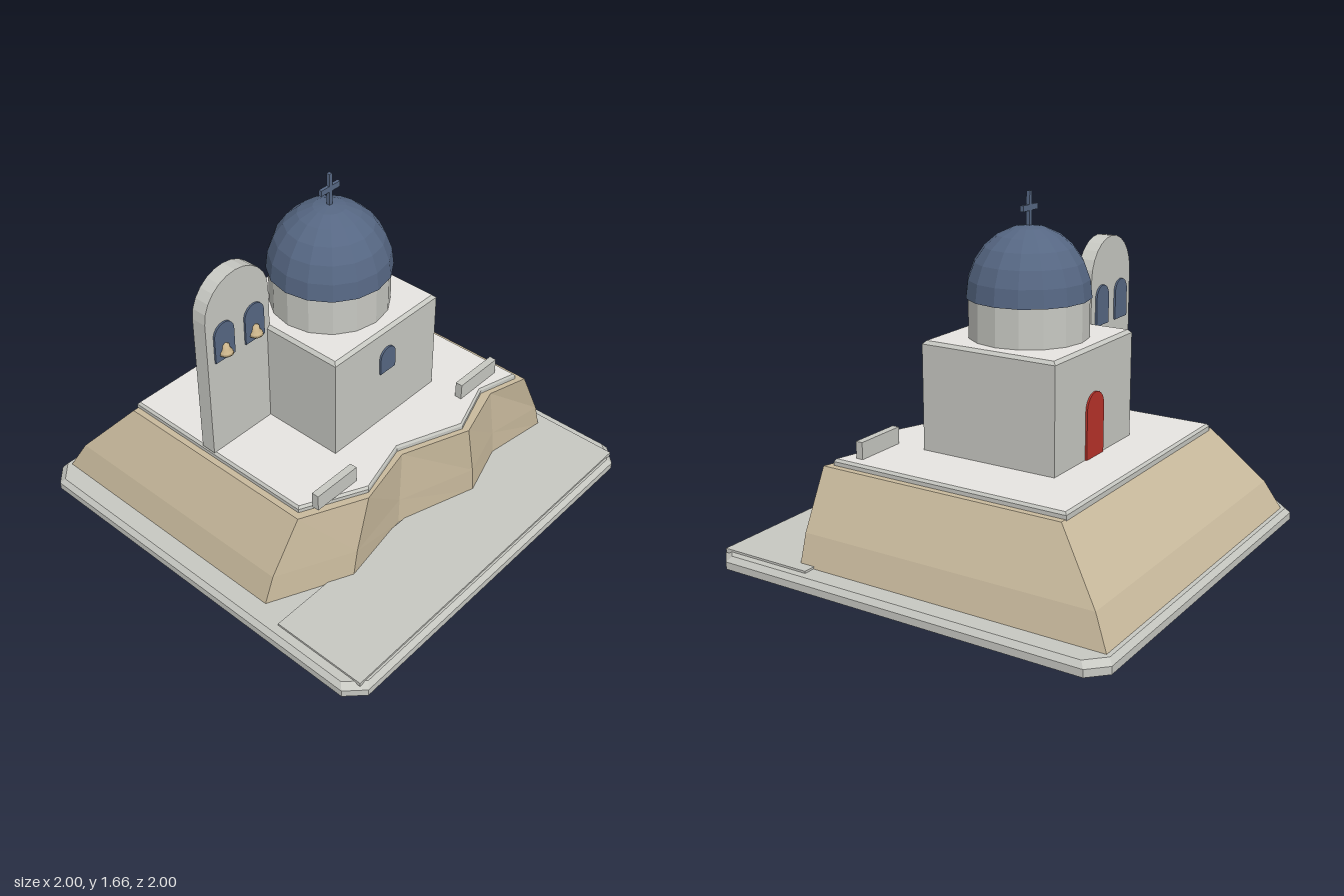
import * as THREE from 'three';

const mat = (name, color) => {
  const m = new THREE.MeshStandardMaterial({ color });
  m.name = name;
  return m;
};

// Flat-faced solid from stacked outlines: rings = [{ y, pts: [[x, z], ...] }, ...], bottom first.
// Group 0 is the sides and underside, group 1 the top cap.
function loft(rings) {
  const pos = [];
  const put = (y, p) => pos.push(p[0], y, p[1]);
  for (let r = 0; r < rings.length - 1; r++) {
    const lo = rings[r], hi = rings[r + 1], n = lo.pts.length;
    for (let i = 0; i < n; i++) {
      const j = (i + 1) % n;
      put(lo.y, lo.pts[i]); put(hi.y, hi.pts[j]); put(lo.y, lo.pts[j]);
      put(lo.y, lo.pts[i]); put(hi.y, hi.pts[i]); put(hi.y, hi.pts[j]);
    }
  }
  const cap = ({ y, pts }, up) => {
    const contour = pts.map(([x, z]) => new THREE.Vector2(x, z));
    for (const [a, b, c] of THREE.ShapeUtils.triangulateShape(contour, [])) {
      const A = pts[a], B = pts[b], C = pts[c];
      const turn = (B[0] - A[0]) * (C[1] - A[1]) - (B[1] - A[1]) * (C[0] - A[0]);
      const keep = (turn < 0) === up;
      for (const p of keep ? [A, B, C] : [A, C, B]) put(y, p);
    }
  };
  cap(rings[0], false);
  const split = pos.length / 3;
  cap(rings[rings.length - 1], true);
  const g = new THREE.BufferGeometry();
  g.setAttribute('position', new THREE.Float32BufferAttribute(pos, 3));
  g.computeVertexNormals();
  g.addGroup(0, split, 0);
  g.addGroup(split, pos.length / 3 - split, 1);
  return g;
}

// Square outline centred on (cx, cz), optionally with chamfered corners
function square(half, cut = 0, cx = 0, cz = 0) {
  const h = half, k = half - cut;
  const p = cut
    ? [[-h, -k], [-k, -h], [k, -h], [h, -k], [h, k], [k, h], [-k, h], [-h, k]]
    : [[-h, -h], [h, -h], [h, h], [-h, h]];
  return p.map(([x, z]) => [x + cx, z + cz]);
}

// Round-topped slab standing on y = 0, facing sideways, thickness running toward +x
function archSlab(width, height, depth, segments) {
  const r = width / 2;
  const s = new THREE.Shape();
  s.moveTo(-r, 0);
  s.lineTo(r, 0);
  s.lineTo(r, height - r);
  s.absarc(0, height - r, r, 0, Math.PI, false);
  s.closePath();
  return new THREE.ExtrudeGeometry(s, { depth, bevelEnabled: false, curveSegments: segments })
    .rotateY(Math.PI / 2);
}

export function createModel() {
  const stone = mat('grey plaster', 0xc7c8c2);
  const white = mat('white plaster', 0xeceae6);
  const rock = mat('sandy rock', 0xc9ba9d);
  const blue = mat('dome blue', 0x566783);
  const red = mat('door red', 0xb8322a);
  const bronze = mat('bell bronze', 0xcdb68c);
  rock.flatShading = stone.flatShading = blue.flatShading = false;

  const model = new THREE.Group();
  model.name = 'cliffChapel';
  const add = (name, geo, material, x = 0, y = 0, z = 0) => {
    const m = new THREE.Mesh(geo, material);
    m.name = name;
    m.position.set(x, y, z);
    model.add(m);
    return m;
  };
  const box = (name, material, x0, x1, y0, y1, z0, z1) =>
    add(name, new THREE.BoxGeometry(x1 - x0, y1 - y0, z1 - z0), material,
      (x0 + x1) / 2, (y0 + y1) / 2, (z0 + z1) / 2);

  // Base plinth with chamfered corners, and the shore slab on it
  add('base', loft([
    { y: 0, pts: square(1, 0.08) },
    { y: 0.035, pts: square(1, 0.08) },
    { y: 0.06, pts: square(0.98, 0.08) },
  ]), [stone, stone]);
  box('shoreSlab', stone, 0.5, 0.97, 0.05, 0.07, -0.945, 0.94);

  // Cliff: straight on three sides, jagged toward +x
  const foot = [[-0.96, -0.89], [0.575, -0.89], [0.53, -0.56], [0.618, -0.285],
    [0.49, 0.12], [0.555, 0.51], [0.375, 0.89]];
  const brow = [[-0.65, -0.71], [0.575, -0.71], [0.52, -0.51], [0.605, -0.23],
    [0.48, 0.1], [0.55, 0.41], [0.41, 0.71]];
  foot.push([-0.96, 0.89]);
  brow.push([-0.65, 0.71]);
  const waist = foot.map((p, i) => p.map((v, k) => v + (brow[i][k] - v) * 0.24));
  add('cliff', loft([
    { y: 0.06, pts: foot }, { y: 0.2, pts: waist }, { y: 0.47, pts: brow },
  ]), [rock, rock]);

  // Terrace following the cliff edge
  const edge = [[-0.655, -0.68], [0.54, -0.68], [0.485, -0.48], [0.575, -0.22],
    [0.45, 0.1], [0.527, 0.385], [0.385, 0.68], [-0.655, 0.68]];
  add('terrace', loft([
    { y: 0.465, pts: edge }, { y: 0.488, pts: edge },
    { y: 0.5, pts: edge.map(([x, z]) => [x * 0.985, z * 0.985]) },
  ]), [stone, white]);
  box('frontParapet', stone, 0.425, 0.46, 0.5, 0.58, 0.39, 0.635);
  box('backParapet', stone, 0.425, 0.46, 0.5, 0.58, -0.62, -0.355);

  // Chapel body with a bevelled roof edge
  const cx = -0.068, cz = -0.022;
  add('chapelWalls', loft([
    { y: 0.5, pts: square(0.343, 0, cx, cz) },
    { y: 0.995, pts: square(0.343, 0, cx, cz) },
    { y: 1.01, pts: square(0.328, 0, cx, cz) },
  ]), [stone, white]);
  add('door', archSlab(0.15, 0.3, 0.009, 8), red, cx - 0.352, 0.5, cz - 0.003);
  add('sideWindow', archSlab(0.1, 0.13, 0.009, 8), blue, cx + 0.343, 0.78, cz);

  // Drum, dome and cross
  const drum = new THREE.CylinderGeometry(0.276, 0.276, 0.19, 16).toNonIndexed();
  drum.computeVertexNormals();
  add('drum', drum, stone, cx, 1.1, cz);
  const profile = [new THREE.Vector2(0.26, 0)];
  for (let i = 0; i <= 6; i++) {
    const a = (i / 6) * Math.PI / 2;
    profile.push(new THREE.Vector2(0.286 * Math.cos(a), 0.32 * Math.sin(a)));
  }
  const dome = new THREE.LatheGeometry(profile, 16).toNonIndexed();
  dome.computeVertexNormals();
  add('dome', dome, blue, cx, 1.19, cz);
  box('crossPost', blue, cx - 0.009, cx + 0.009, 1.49, 1.66, cz - 0.009, cz + 0.009);
  box('crossArm', blue, cx - 0.008, cx + 0.008, 1.573, 1.6, cz - 0.06, cz + 0.06);

  // Bell wall: arched slab, two openings on each face, bells on the +x face
  add('bellWall', archSlab(0.375, 0.9, 0.075, 6), stone, -0.205, 0.5, 0.493);
  const bell = new THREE.LatheGeometry(
    [[0, 0], [0.034, 0], [0.03, 0.012], [0.02, 0.024], [0.016, 0.045], [0, 0.056]]
      .map(([r, y]) => new THREE.Vector2(r, y)), 12);
  for (const z of [0.402, 0.582]) {
    add('bellOpening', archSlab(0.115, 0.19, 0.009, 8), blue, -0.214, 0.99, z);
    add('bellOpening', archSlab(0.115, 0.19, 0.009, 8), blue, -0.13, 0.99, z);
    add('bell', bell, bronze, -0.118, 1.02, z);
  }
  return model;
}
